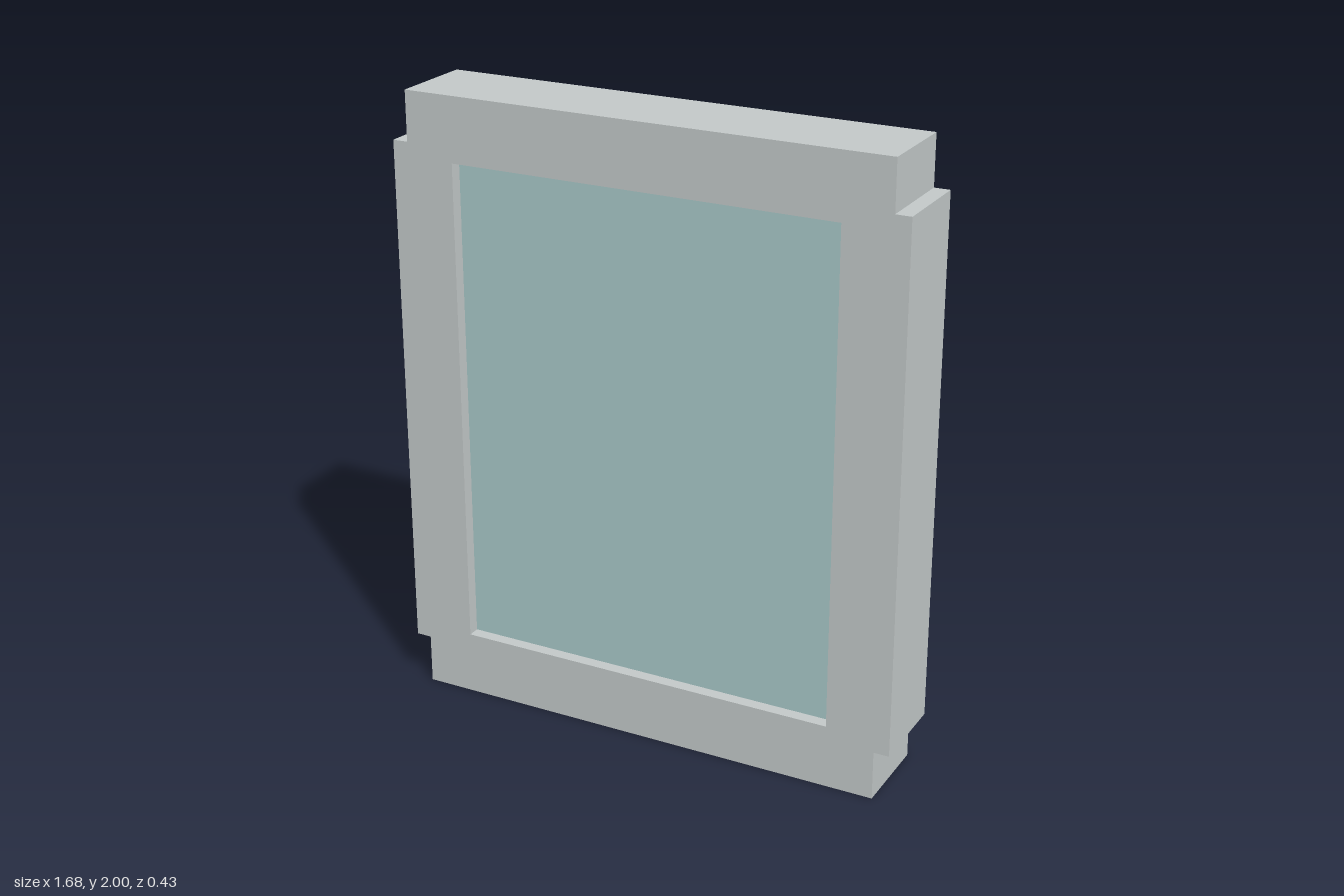
import * as THREE from 'three';

export function createModel() {
  const model = new THREE.Group();
  const grey = new THREE.MeshStandardMaterial({ color: 0xc4caca });
  grey.name = 'paleGrey';
  const teal = new THREE.MeshStandardMaterial({ color: 0xa9caca });
  teal.name = 'paleTeal';

  const add = (name, geometry, material, x, y, z) => {
    const mesh = new THREE.Mesh(geometry, material);
    mesh.name = name;
    mesh.position.set(x, y, z);
    model.add(mesh);
    return mesh;
  };
  const points = (list) => list.map(([x, y]) => new THREE.Vector2(x, y));

  const back = -0.07, front = 0.215; // frame faces
  const recess = 0.04;               // depth of the panel below both faces
  const panelBack = back + recess;

  // Frame with notched corners and a rectangular opening
  const outline = new THREE.Shape(points([
    [-0.79, 0], [0.79, 0], [0.79, 0.16], [0.84, 0.16], [0.84, 1.84], [0.79, 1.84],
    [0.79, 2], [-0.79, 2], [-0.79, 1.84], [-0.84, 1.84], [-0.84, 0.16], [-0.79, 0.16],
  ]));
  outline.holes.push(new THREE.Path(points([
    [-0.633, 0.207], [-0.633, 1.793], [0.633, 1.793], [0.633, 0.207],
  ])));
  add('frame', new THREE.ExtrudeGeometry(outline, { depth: front - back, bevelEnabled: false }),
    grey, 0, 0, back);

  // Panel set into the opening
  const panelDepth = front - back - 2 * recess;
  add('panel', new THREE.BoxGeometry(1.266, 1.586, panelDepth), teal,
    0, 1, panelBack + panelDepth / 2);

  // Square block turned on its corner, on the back of the panel
  const blockDepth = panelBack + 0.215;
  const side = 0.408 * Math.SQRT2;
  const block = add('diamondBlock', new THREE.BoxGeometry(side, side, blockDepth), grey,
    0, 1, panelBack - blockDepth / 2);
  block.rotation.z = Math.PI / 4;

  // Small bars at opposite corners of the back
  const barDepth = panelBack + 0.11;
  for (const [name, s] of [['upperBar', 1], ['lowerBar', -1]]) {
    add(name, new THREE.BoxGeometry(0.365, 0.095, barDepth), teal,
      s * 0.368, 1 + s * 0.475, panelBack - barDepth / 2);
  }

  return model;
}
